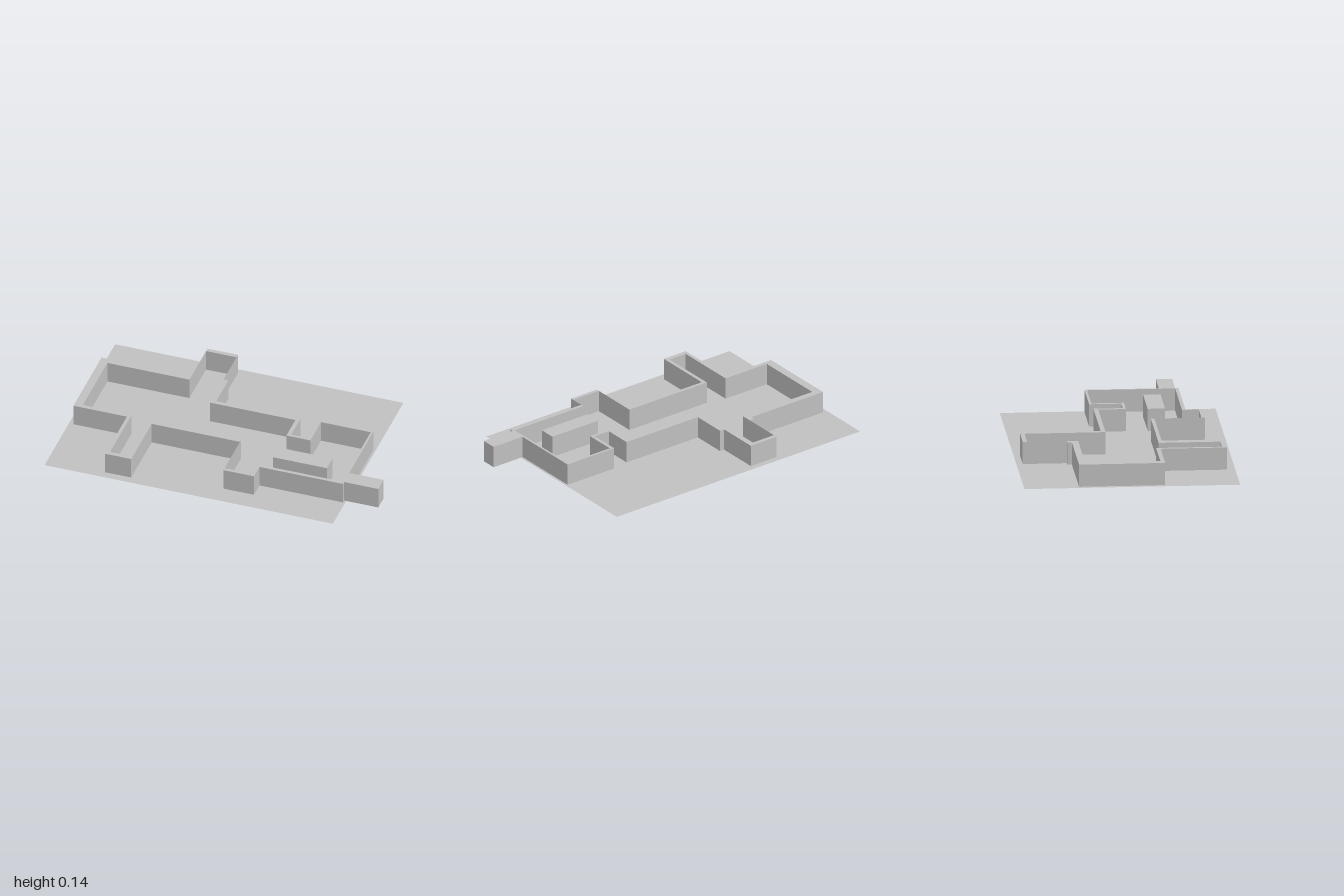
import * as THREE from 'three';

const H = 0.135; // wall height

export function createModel() {
  const model = new THREE.Group();
  model.name = 'floorPlan';
  const grey = new THREE.MeshStandardMaterial({ color: 0xc0c0c0, side: THREE.DoubleSide });
  grey.name = 'plain grey';

  const add = (name, geometry) => {
    const mesh = new THREE.Mesh(geometry, grey);
    mesh.name = name;
    model.add(mesh);
    return mesh;
  };

  // Raises a floor outline of [x, z] corners to wall height
  const wall = (name, outline) => {
    const shape = new THREE.Shape(outline.map(([x, z]) => new THREE.Vector2(x, -z)));
    const geometry = new THREE.ExtrudeGeometry(shape, { depth: H, bevelEnabled: false });
    return add(name, geometry.rotateX(-Math.PI / 2));
  };

  // Full-height block between two floor corners
  const block = (name, x0, x1, z0, z1) =>
    add(name, new THREE.BoxGeometry(x1 - x0, H, z1 - z0)
      .translate((x0 + x1) / 2, H / 2, (z0 + z1) / 2));

  // Paper-thin partition running front to back
  const partition = (name, x, z0, z1) =>
    add(name, new THREE.PlaneGeometry(z1 - z0, H)
      .rotateY(Math.PI / 2).translate(x, H / 2, (z0 + z1) / 2));

  // Ground sheet
  add('ground', new THREE.PlaneGeometry(1.8, 1.278).rotateX(-Math.PI / 2).translate(-0.1, 0, -0.002));

  // Left half of the house, with a bay at the front
  wall('leftWalls', [
    [-0.41, -0.342], [-0.443, -0.342], [-0.443, -0.315], [-0.972, -0.315],
    [-0.972, 0.195], [-0.638, 0.195], [-0.638, 0.588], [-0.476, 0.588],
    [-0.476, 0.216], [0.075, 0.216], [0.075, 0.195], [-0.498, 0.195],
    [-0.498, 0.56], [-0.617, 0.56], [-0.617, 0.17], [-0.922, 0.17],
    [-0.922, -0.275], [-0.41, -0.275],
  ]);

  // Right half, with a recess in the back wall
  wall('rightWalls', [
    [-0.19, -0.342], [-0.19, -0.124], [0.337, -0.124], [0.337, 0.05],
    [0.442, 0.05], [0.442, -0.141], [0.786, -0.141], [0.786, 0.416],
    [0.265, 0.416], [0.265, 0.395], [0.773, 0.395], [0.773, -0.126],
    [0.463, -0.126], [0.463, 0.067], [0.313, 0.067], [0.313, -0.097],
    [-0.22, -0.097], [-0.22, -0.342],
  ]);

  // Back alcove
  block('backAlcoveWall', -0.41, -0.22, -0.603, -0.577);
  partition('backAlcoveRightSide', -0.41, -0.603, -0.342);
  partition('backAlcoveLeftSide', -0.22, -0.603, -0.342);

  // Front porch
  block('porchWall', 0.075, 0.265, 0.494, 0.515);
  partition('porchRightSide', 0.075, 0.216, 0.515);
  partition('porchLeftSide', 0.265, 0.416, 0.515);

  // Solid blocks: inner island and side projection
  block('island', 0.308, 0.645, 0.195, 0.298);
  block('sideProjection', 0.786, 1, 0.3, 0.396);

  return model;
}
